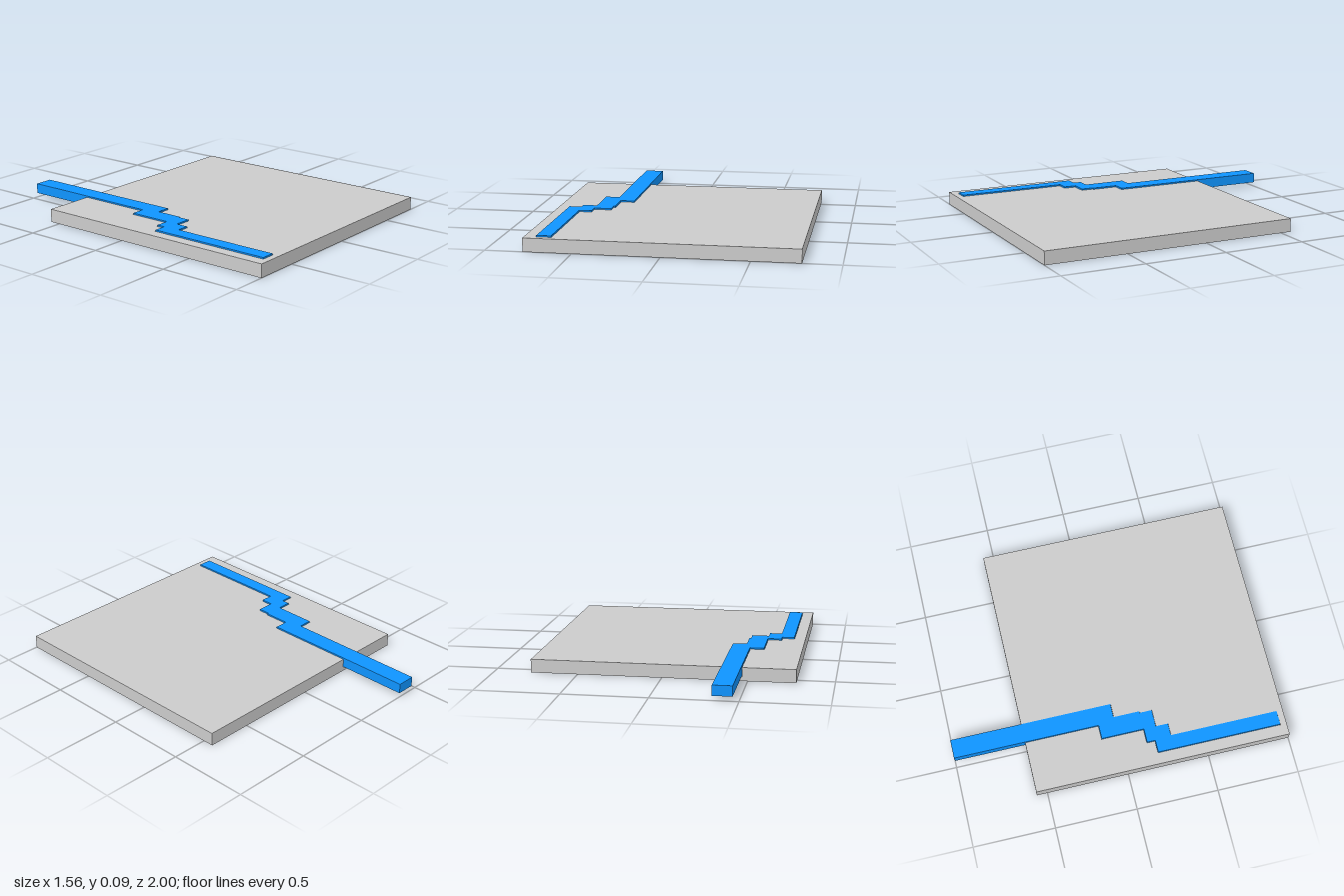
import * as THREE from 'three';

const BOARD = { x: 0.78, back: -0.565, front: 1, top: 0.08 };
const FLOOR = 0.025;

// Plan of the stepped bar as [x, z], from its back end round the front and back again
const BAR = [
  [-0.35, -1], [-0.35, -0.01], [-0.435, -0.01], [-0.435, 0.15], [-0.445, 0.15],
  [-0.445, 0.225], [-0.55, 0.225], [-0.55, 0.3], [-0.625, 0.3], [-0.625, 0.96],
  [-0.71, 0.96], [-0.71, 0.2], [-0.635, 0.2], [-0.635, 0.15], [-0.55, 0.15],
  [-0.55, -0.11], [-0.465, -0.11], [-0.465, -1],
];

// Offset a right-angled outline outwards
function grow(points, d) {
  const n = points.length;
  return points.map((p, i) => {
    const out = [...p];
    for (const [a, b] of [[points[(i + n - 1) % n], p], [p, points[(i + 1) % n]]]) {
      out[0] += d * Math.sign(b[1] - a[1]);
      out[1] -= d * Math.sign(b[0] - a[0]);
    }
    return out;
  });
}

const planShape = (points) => new THREE.Shape(points.map(([x, z]) => new THREE.Vector2(x, -z)));

// Flat horizontal sheet at height y
function sheet(points, y) {
  return new THREE.ShapeGeometry(planShape(points)).rotateX(-Math.PI / 2).translate(0, y, 0);
}

// Vertical wall following a plan path
function wall(points, y0, y1) {
  const v = [];
  for (let i = 0; i < points.length - 1; i++) {
    const [ax, az] = points[i], [bx, bz] = points[i + 1];
    v.push(ax, y0, az, bx, y0, bz, bx, y1, bz, ax, y0, az, bx, y1, bz, ax, y1, az);
  }
  const g = new THREE.BufferGeometry();
  g.setAttribute('position', new THREE.Float32BufferAttribute(v, 3));
  g.computeVertexNormals();
  return g;
}

export function createModel() {
  const model = new THREE.Group();
  const grey = new THREE.MeshStandardMaterial({ color: 0xcccccc, side: THREE.DoubleSide });
  const blue = new THREE.MeshStandardMaterial({ color: 0x0f94ff });
  const add = (parent, name, geometry, material) => {
    const mesh = new THREE.Mesh(geometry, material);
    mesh.name = name;
    parent.add(mesh);
  };

  // Channel the bar lies in, cut off at the back edge of the board
  const channel = grow(BAR, 0.002);
  channel[0][1] = channel[channel.length - 1][1] = BOARD.back;
  const first = channel[0], last = channel[channel.length - 1];
  const rim = [
    last, [-BOARD.x, BOARD.back], [-BOARD.x, BOARD.front],
    [BOARD.x, BOARD.front], [BOARD.x, BOARD.back], first,
  ];

  // Hollow board, open underneath
  const board = new THREE.Group();
  board.name = 'board';
  add(board, 'boardTop', sheet([...rim, ...channel.slice(1, -1)], BOARD.top), grey);
  add(board, 'boardSides', wall(rim, 0, BOARD.top), grey);
  add(board, 'channelSill', wall([first, last], 0, FLOOR), grey);
  add(board, 'channelSides', wall(channel, FLOOR, BOARD.top), grey);
  add(board, 'channelFloor', sheet(channel, FLOOR), grey);
  model.add(board);

  // Stepped bar, slightly proud of the board
  const bar = new THREE.ExtrudeGeometry(planShape(BAR), { depth: 0.061, bevelEnabled: false });
  bar.rotateX(-Math.PI / 2).translate(0, FLOOR + 0.002, 0);
  add(model, 'steppedBar', bar, blue);

  return model;
}
